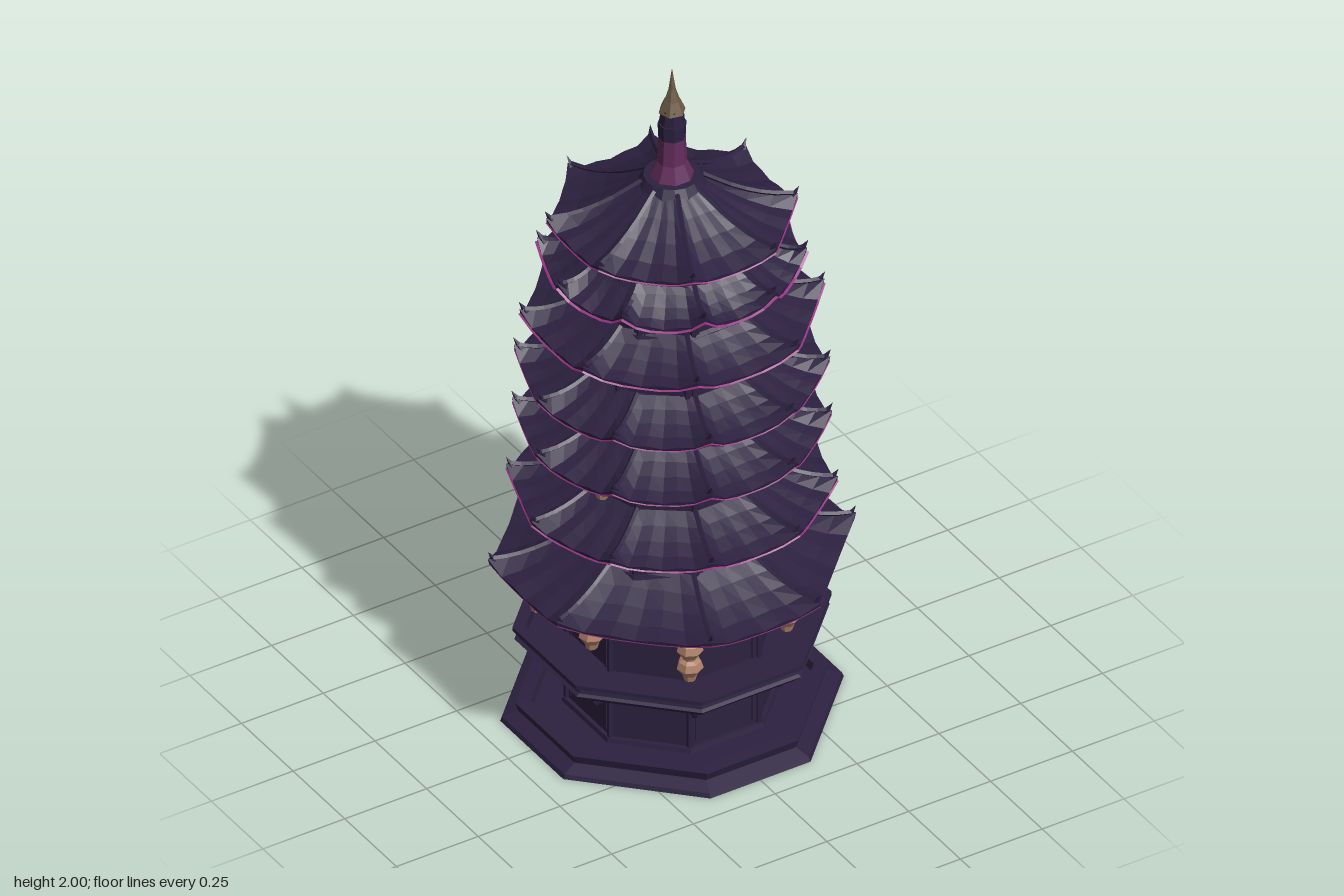
import * as THREE from 'three';

const mat = (name, color) => {
  const m = new THREE.MeshStandardMaterial({ color, flatShading: true });
  m.name = name;
  return m;
};

export function createModel() {
  const purple = mat('dusk purple', 0x2c2140);
  const magenta = mat('magenta trim', 0x9a3486);
  const plum = mat('plum spire', 0x622c5c);
  const tan = mat('lantern tan', 0xb0826a);
  const bronze = mat('bronze', 0x6c5a46);

  const pagoda = new THREE.Group();
  pagoda.name = 'pagoda';
  const add = (name, geo, material, parent = pagoda) => {
    const m = new THREE.Mesh(geo, material);
    m.name = name;
    parent.add(m);
    return m;
  };
  // Corner angle; skew makes alternate sides longer
  const offset = n => (n === 8 ? Math.PI / 8 : Math.PI / 10);
  const corner = (n, k, skew = 0) => offset(n) + (k * 2 * Math.PI) / n + (k % 2 ? skew : -skew);

  // Polygonal skin swept through rows [radius, y, cornerLift, fold], listed from top to bottom
  function skin(n, rows, div = 6, skew = 0) {
    const pos = [], idx = [], cols = n * div;
    rows.forEach(([r, y, lift = 0, fold = 0]) => {
      for (let j = 0; j <= cols; j++) {
        const k = Math.floor(j / div), u = (j % div) / div;
        const a = corner(n, k, skew), b = corner(n, k + 1, skew);
        const bow = Math.pow(Math.abs(2 * u - 1), 3);
        const rr = r * (lift ? 0.98 + 0.02 * bow : 1);
        pos.push(
          rr * (Math.sin(a) * (1 - u) + Math.sin(b) * u),
          y + lift * bow - (j % 2) * fold,
          rr * (Math.cos(a) * (1 - u) + Math.cos(b) * u));
      }
    });
    const w = cols + 1;
    for (let i = 0; i < rows.length - 1; i++)
      for (let j = 0; j < cols; j++) {
        const A = i * w + j, B = A + w;
        idx.push(A, B, B + 1, A, B + 1, A + 1);
      }
    const g = new THREE.BufferGeometry();
    g.setAttribute('position', new THREE.Float32BufferAttribute(pos, 3));
    g.setIndex(idx);
    g.computeVertexNormals();
    return g;
  }
  const prism = (n, rTop, rBottom, y0, y1) =>
    new THREE.CylinderGeometry(rTop, rBottom, y1 - y0, n, 1, false, offset(n))
      .translate(0, (y0 + y1) / 2, 0);
  const polar = (r, a, y) => new THREE.Vector3(r * Math.sin(a), y, r * Math.cos(a));

  // Roof with folded tiles, upturned corners, trimmed eave and soffit
  function roof(n, R, eave, tip, top, inner, wall, flare, skew) {
    const g = new THREE.Group();
    g.name = 'roof';
    const lift = tip - eave - 0.02, h = top - eave - 0.012;
    const edge = eave + 0.012;
    const at = t => [inner + (R - inner) * t, edge + h * Math.pow(1 - t, 1.5), lift * t * t, 0.007 * t];
    const ring = (name, rows, material) => add(name, skin(n, rows, 6, skew), material, g);
    ring('roofTiles', [0, 0.25, 0.5, 0.75, 1].map(at), purple);
    ring('eaveEdge', [[R, edge, lift, 0.007], [R * 0.995, eave, lift]], purple);
    ring('eaveTrim', [[R * 0.995, eave, lift], [R * 0.995 + flare, eave - 0.003, lift],
      [R * 0.962, eave - 0.013, lift * 0.85]], magenta);
    ring('soffit', [[R * 0.962, eave - 0.013, lift * 0.85], [wall + (R - wall) * 0.35, eave - 0.01, 0.001],
      [wall * 1.06, eave - 0.035], [wall * 0.98, eave - 0.04]], purple);
    for (let k = 0; k < n; k++) {
      const a = corner(n, k, skew);
      const pts = [0, 0.35, 0.7, 0.95].map(t => {
        const [r, y, l] = at(t);
        return polar(r, a, y + l + 0.004);
      });
      add('ridge', new THREE.TubeGeometry(new THREE.CatmullRomCurve3(pts), 6, 0.007, 4), purple, g);
      const horn = add('cornerHorn', new THREE.ConeGeometry(0.013, 0.045, 4), purple, g);
      horn.position.copy(polar(R * 0.975, a, tip - 0.004));
      horn.rotation.set(0.55, a, 0, 'YXZ');
    }
    pagoda.add(g);
  }

  // Storey walls with corner posts, panel frames and a foot rail
  function storey(n, R, y0, y1) {
    add('wall', prism(n, R, R, y0, y1), purple);
    add('footRail', prism(n, R + 0.012, R + 0.018, y0, y0 + 0.022), purple);
    const inR = R * Math.cos(Math.PI / n), half = R * Math.sin(Math.PI / n);
    for (let k = 0; k < n; k++) {
      const a = corner(n, k), mid = a + Math.PI / n;
      const post = add('post', new THREE.CylinderGeometry(0.009, 0.009, y1 - y0, 6), purple);
      post.position.copy(polar(R, a, (y0 + y1) / 2));
      for (const s of [-1, 1]) {
        const frame = add('panelFrame', new THREE.BoxGeometry(0.006, (y1 - y0) * 0.85, 0.008), purple);
        frame.position.copy(polar(inR, mid, (y0 + y1) / 2));
        frame.rotation.y = mid;
        frame.translateX(s * half * 0.82);
      }
    }
  }

  // Ground plinth with raised kerb and closed underside
  add('plinth', skin(8, [[0.27, 0.03], [0.37, 0.028], [0.375, 0.052], [0.415, 0.05],
    [0.408, 0.026], [0.45, 0.012], [0.455, 0], [0, 0]], 1, 0.05), purple);

  // Balcony floor, parapet, rail and underside in one skin, on curved brackets
  add('balcony', skin(8, [[0.26, 0.25], [0.385, 0.25], [0.385, 0.283], [0.42, 0.283], [0.42, 0.272],
    [0.4, 0.27], [0.405, 0.25], [0.415, 0.245], [0.39, 0.222], [0.34, 0.215], [0.26, 0.205]], 1, 0.02), purple);
  for (let k = 0; k < 8; k++) {
    const a = corner(8, k);
    const curve = new THREE.CatmullRomCurve3(
      [[0.27, 0.17], [0.31, 0.18], [0.345, 0.19], [0.36, 0.225]].map(([r, y]) => polar(r, a, y)));
    add('balconyBracket', new THREE.TubeGeometry(curve, 8, 0.009, 5), purple);
  }

  // Tiers: sides, roof radius, eave, corner tip, roof top, wall radius, trim flare, skew
  const tiers = [
    [8, 0.487, 0.48, 0.525, 0.575, 0.275, 0, 0.045],
    [10, 0.43, 0.69, 0.735, 0.765, 0.255, 0.004, 0],
    [10, 0.415, 0.89, 0.945, 0.965, 0.24, 0.002, 0],
    [10, 0.41, 1.06, 1.115, 1.13, 0.235, 0.002, 0],
    [8, 0.4, 1.24, 1.295, 1.315, 0.24, 0.005, 0],
    [10, 0.35, 1.4, 1.46, 1.48, 0.225, 0.007, 0],
    [8, 0.33, 1.53, 1.575, 1.655, 0.22, 0.003, 0],
  ];
  let floor = 0.02;
  tiers.forEach(([n, R, eave, tip, top, wall, flare, skew], i) => {
    storey(n, wall, floor, eave);
    const next = tiers[i + 1];
    roof(n, R, eave, tip, top, next ? next[5] + 0.005 : 0.08, wall, flare, skew);
    floor = top - 0.03;
  });

  // Spire
  add('spireCollar', prism(16, 0.075, 0.095, 1.635, 1.67), purple);
  add('spireBase', prism(8, 0.036, 0.06, 1.665, 1.72), plum);
  add('spireShaft', prism(8, 0.036, 0.04, 1.715, 1.79), plum);
  add('spireBand', prism(8, 0.038, 0.036, 1.79, 1.835), purple);
  add('spireNeck', prism(8, 0.03, 0.034, 1.835, 1.88), purple);
  add('finialBulb', prism(6, 0.022, 0.037, 1.87, 1.905), bronze);
  add('finialTip', prism(6, 0.01, 0.021, 1.905, 1.94), bronze);
  add('finialNeedle', prism(6, 0.001, 0.01, 1.94, 2), bronze);

  // Hanging lanterns with a faceted, top-heavy body
  const lanternShape = new THREE.LatheGeometry(
    [[0, -0.04], [0.015, -0.036], [0.02, -0.018], [0.036, 0.004], [0.03, 0.024], [0.012, 0.034], [0, 0.035]]
      .map(([r, y]) => new THREE.Vector2(r, y)), 7);
  function lantern(x, y, z, cord = 0.05) {
    const g = new THREE.Group();
    g.name = 'lantern';
    add('lanternBody', lanternShape, tan, g);
    add('lanternCord', new THREE.CylinderGeometry(0.003, 0.003, cord, 4).translate(0, 0.03 + cord / 2, 0), purple, g);
    g.position.set(x, y, z);
    pagoda.add(g);
  }
  const lowerRing = [[0.31, 0.17], [0.13, 0.35], [-0.16, 0.34], [-0.34, 0.15],
    [-0.35, -0.145], [-0.145, -0.35], [0.145, -0.35], [0.355, -0.14]];
  for (const [x, z] of lowerRing) lantern(x, 0.42, z);
  lantern(-0.33, 0.365, -0.13);
  lantern(-0.16, 0.365, 0.34);
  for (const x of [-0.27, 0.27])
    for (const z of [-0.09, 0.09]) lantern(x, 0.835, z, 0.035);

  return pagoda;
}
